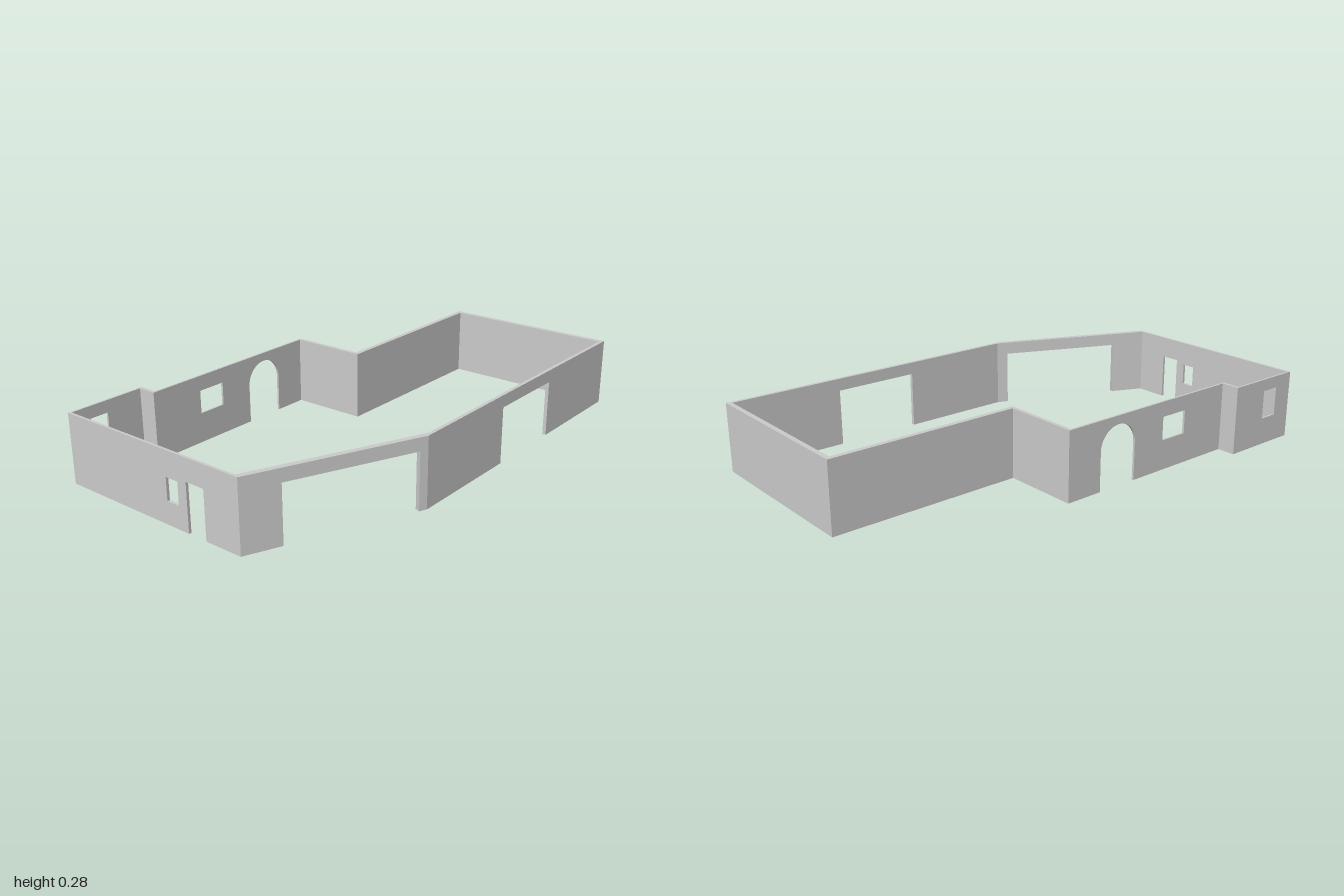
import * as THREE from 'three';

const HEIGHT = 0.285;

// Walls in order round the plan, each starting at its outer corner (x, z).
// Openings use distance along the wall (a to b) and height (y0 to y1).
const WALLS = [
  { name: 'frontWall', x: -0.577, z: 0.99, t: 0.011,
    windows: [{ a: 0.522, b: 0.58, y0: 0.092, y1: 0.183 }],
    doors: [{ a: 0.622, b: 0.707, y1: 0.195 }] },
  { name: 'diagonalWall', x: 0.292, z: 1, t: 0.023, doors: [{ a: 0.152, b: 0.676, y1: 0.232 }] },
  { name: 'leftWall', x: 0.574, z: 0.35, t: 0.015, doors: [{ a: 0.5, b: 0.86, y1: 0.234 }] },
  { name: 'backWall', x: 0.574, z: -1, t: 0.02 },
  { name: 'rearRightWall', x: -0.185, z: -1, t: 0.02 },
  { name: 'rearStepWall', x: -0.5 + 0.315, z: -0.2, t: 0.015 },
  { name: 'middleRightWall', x: -0.5, z: -0.2, t: 0.009,
    windows: [{ a: 0.495, b: 0.62, y0: 0.125, y1: 0.222 }],
    doors: [{ a: 0.16, b: 0.34, y1: 0.25, arch: true }] },
  { name: 'frontStepWall', x: -0.5, z: 0.645, t: 0.014 },
  { name: 'frontRightWall', x: -0.577, z: 0.645, t: 0.008,
    windows: [{ a: 0.175, b: 0.255, y0: 0.115, y1: 0.235 }] },
];

// Wall elevation: notches for doors, holes for windows
function elevation(length, { doors = [], windows = [] }) {
  const s = new THREE.Shape();
  s.moveTo(0, 0);
  for (const { a, b, y1, arch } of doors) {
    const r = (b - a) / 2;
    s.lineTo(a, 0);
    if (arch) {
      s.lineTo(a, y1 - r);
      s.absarc(a + r, y1 - r, r, Math.PI, 0, true);
    } else {
      s.lineTo(a, y1);
      s.lineTo(b, y1);
    }
    s.lineTo(b, 0);
  }
  s.lineTo(length, 0);
  s.lineTo(length, HEIGHT);
  s.lineTo(0, HEIGHT);
  s.closePath();
  for (const { a, b, y0, y1 } of windows) {
    s.holes.push(new THREE.Path([
      new THREE.Vector2(a, y0), new THREE.Vector2(a, y1),
      new THREE.Vector2(b, y1), new THREE.Vector2(b, y0),
    ]));
  }
  return s;
}

export function createModel() {
  const group = new THREE.Group();
  group.name = 'buildingWalls';
  const material = new THREE.MeshStandardMaterial({ color: 0xcccccc });
  const n = WALLS.length;

  // Outer line of each wall: start, direction, inward normal
  const lines = WALLS.map((w, i) => {
    const next = WALLS[(i + 1) % n];
    const start = new THREE.Vector2(w.x, w.z);
    const dir = new THREE.Vector2(next.x, next.z).sub(start);
    const length = dir.length();
    dir.normalize();
    return { start, dir, length, inward: new THREE.Vector2(dir.y, -dir.x) };
  });

  // Inner corners: where the inner faces of neighbouring walls meet
  const inner = lines.map((line, i) => {
    const j = (i + n - 1) % n;
    const prev = lines[j];
    const p = prev.start.clone().addScaledVector(prev.inward, WALLS[j].t);
    const q = line.start.clone().addScaledVector(line.inward, WALLS[i].t);
    const k = q.sub(p).cross(line.dir) / prev.dir.cross(line.dir);
    return p.addScaledVector(prev.dir, k);
  });

  WALLS.forEach((wall, i) => {
    const { start, dir, length, inward } = lines[i];
    const geometry = new THREE.ExtrudeGeometry(elevation(length, wall), {
      depth: 1, bevelEnabled: false, curveSegments: 20,
    });
    // Lay the wall on the plan, mitring the ends at the inner corners
    const pos = geometry.attributes.position;
    for (let v = 0; v < pos.count; v++) {
      const u = pos.getX(v);
      const isInner = pos.getZ(v) < 0.5;
      const p = start.clone().addScaledVector(dir, u);
      if (isInner) {
        if (u < 1e-5) p.copy(inner[i]);
        else if (u > length - 1e-5) p.copy(inner[(i + 1) % n]);
        else p.addScaledVector(inward, wall.t);
      }
      pos.setXYZ(v, p.x, pos.getY(v), p.y);
    }
    geometry.computeVertexNormals();
    const mesh = new THREE.Mesh(geometry, material);
    mesh.name = wall.name;
    group.add(mesh);
  });
  return group;
}
